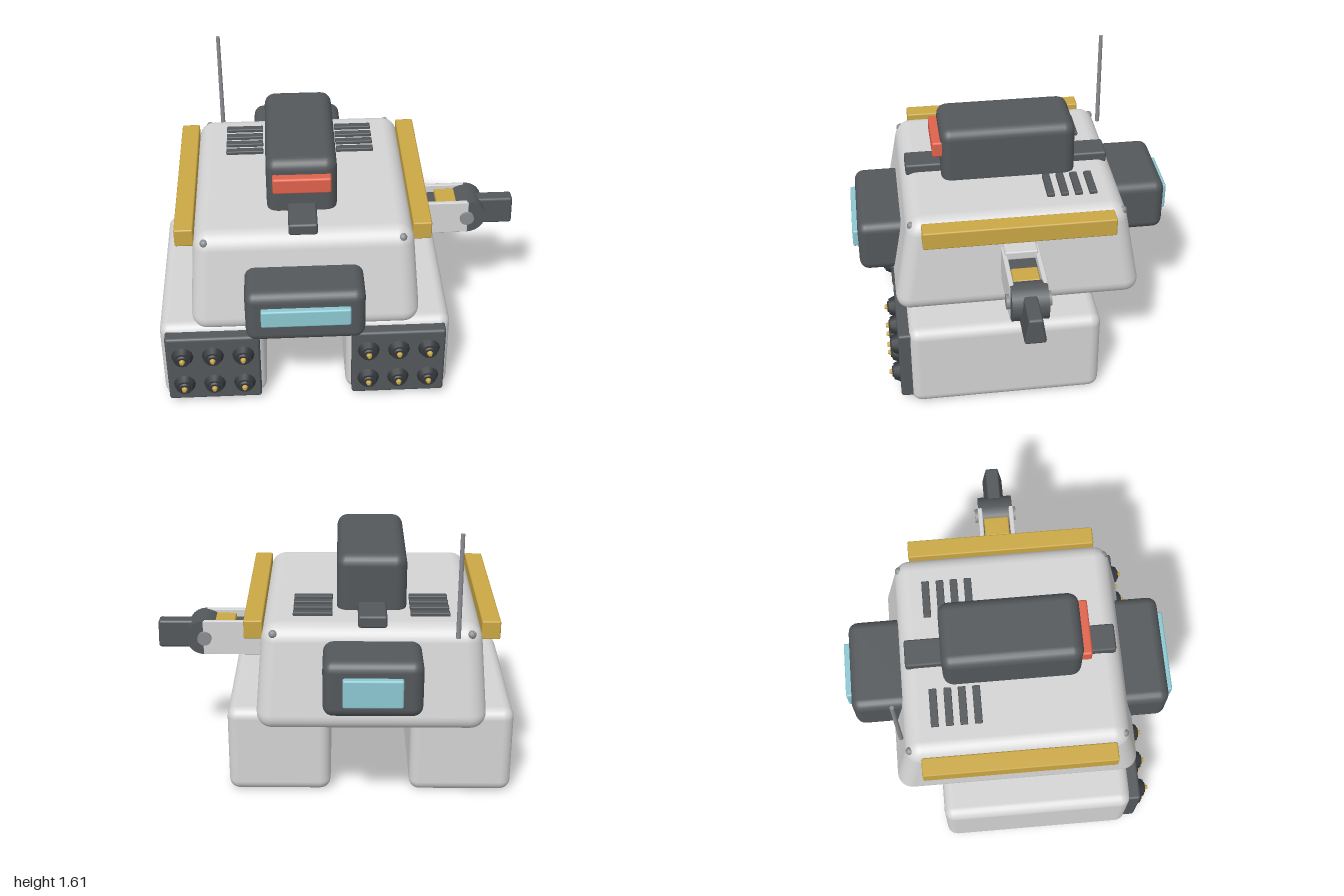
import * as THREE from 'three';
import { RoundedBoxGeometry } from 'three/addons/geometries/RoundedBoxGeometry.js';

const material = (name, color) => {
  const m = new THREE.MeshStandardMaterial({ color });
  m.name = name;
  return m;
};

export function createModel() {
  const model = new THREE.Group();
  model.name = 'walkerTurret';
  const light = material('light grey armour', 0xd4d4d4);
  const dark = material('dark grey', 0x54585b);
  const black = material('tube black', 0x34373a);
  const gold = material('gold', 0xcba844);
  const cyan = material('cyan glass', 0x8cc8d2);
  const red = material('red lens', 0xe0634c);
  const steel = material('steel', 0x8a8d90);

  const add = (name, geometry, mat, x = 0, y = 0, z = 0, parent = model) => {
    const mesh = new THREE.Mesh(geometry, mat);
    mesh.name = name;
    mesh.position.set(x, y, z);
    parent.add(mesh);
    return mesh;
  };
  // Rounded box given by its limits on each axis
  const block = (name, mat, [x0, x1], [y0, y1], [z0, z1], r = 0.008, seg = 1, parent = model) =>
    add(name, new RoundedBoxGeometry(x1 - x0, y1 - y0, z1 - z0, seg, r), mat,
      (x0 + x1) / 2, (y0 + y1) / 2, (z0 + z1) / 2, parent);
  // Narrow a geometry towards its top
  const taper = (geometry, height, sx, sz) => {
    const p = geometry.attributes.position;
    for (let i = 0; i < p.count; i++) {
      const t = p.getY(i) / height + 0.5;
      p.setX(i, p.getX(i) * (1 + (sx - 1) * t));
      p.setZ(i, p.getZ(i) * (1 + (sz - 1) * t));
    }
    return geometry;
  };
  const alongZ = (r0, r1, length, sides) =>
    new THREE.CylinderGeometry(r1, r0, length, sides).rotateX(Math.PI / 2);

  // Tapered hull
  const hull = new RoundedBoxGeometry(1.24, 0.575, 1.39, 4, 0.09);
  const n = hull.attributes.normal;
  taper(hull, 0.575, 0.93, 0.85);
  for (let i = 0; i < n.count; i++) {
    const v = new THREE.Vector3().fromBufferAttribute(n, i);
    v.y += Math.abs(v.x) * 0.08 + Math.abs(v.z) * 0.18;
    v.normalize();
    n.setXYZ(i, v.x, v.y, v.z);
  }
  add('hull', hull, light, -0.203, 0.803, 0.01);

  // Corner bolts
  for (const x of [-0.725, 0.315])
    for (const z of [-0.57, 0.585])
      add('cornerBolt', new THREE.SphereGeometry(0.023, 10, 8), steel, x, 1.04, z);

  // Missile pods, each with a 3 x 2 launcher
  for (const x of [-0.715, 0.303]) {
    const pod = new THREE.Group();
    pod.name = 'missilePod';
    pod.position.x = x;
    model.add(pod);
    block('podBody', light, [-0.287, 0.287], [0, 0.513], [-0.425, 0.642], 0.06, 3, pod);
    block('launcherPlate', dark, [-0.257, 0.257], [0.04, 0.478], [0.6, 0.7], 0.015, 2, pod);
    for (const tx of [-0.166, 0, 0.166])
      for (const ty of [0.155, 0.357]) {
        add('launchTube', alongZ(0.063, 0.045, 0.04, 12), black, tx, ty, 0.715, pod);
        add('missileBase', alongZ(0.036, 0.028, 0.012, 12), black, tx, ty, 0.738, pod);
        add('missileTip', alongZ(0.026, 0.01, 0.04, 10), gold, tx, ty, 0.74, pod);
      }
  }

  // Front and rear sensor housings
  block('frontSensor', dark, [-0.522, 0.105], [0.595, 0.907], [0.5, 0.878], 0.055, 3);
  block('frontVisor', cyan, [-0.44, 0.027], [0.723, 0.827], [0.84, 0.908], 0.01, 2);
  block('rearSensor', dark, [-0.465, 0.053], [0.7, 1.012], [-0.875, -0.5], 0.055, 3);
  block('rearVisor', cyan, [-0.36, -0.05], [0.777, 0.933], [-0.908, -0.84], 0.01, 2);

  // Roof turret, its lens and the rail below
  block('roofTurret', dark, [-0.393, -0.018], [1.04, 1.398], [-0.363, 0.388], 0.06, 3);
  block('turretLens', red, [-0.36, -0.05], [1.228, 1.32], [0.36, 0.435], 0.012, 2);
  block('roofRail', dark, [-0.283, -0.13], [1.07, 1.137], [-0.563, 0.585], 0.012);

  // Roof vents
  for (const x of [-0.62, 0.005])
    for (const z of [-0.425, -0.345, -0.268, -0.19])
      block('roofVent', dark, [x, x + 0.21], [1.07, 1.11], [z - 0.021, z + 0.021], 0.005);

  // Gold side bars
  for (const x of [-0.883, 0.373])
    block('sideBar', gold, [x, x + 0.101], [0.985, 1.089], [-0.51, 0.535], 0.008);

  // Antenna
  add('antenna', new THREE.CylinderGeometry(0.011, 0.013, 0.57, 10), steel, -0.65, 1.325, -0.612);

  // Left arm: twin plates around a core, ending in a hinged grip
  const arm = new THREE.Group();
  arm.name = 'arm';
  arm.position.set(0, 0.803, 0.008);
  model.add(arm);
  for (const s of [-1, 1]) {
    add('armPlate', new RoundedBoxGeometry(0.4, 0.205, 0.026, 1, 0.005), light, 0.54, 0, s * 0.09, arm);
    add('armPin', alongZ(0.04, 0.04, 0.02, 16), steel, 0.732, 0, s * 0.11, arm);
  }
  block('armCore', dark, [0.34, 0.74], [-0.085, 0.06], [-0.078, 0.078], 0.008, 1, arm);
  block('armBand', gold, [0.56, 0.675], [-0.09, 0.085], [-0.072, 0.072], 0.008, 1, arm);
  block('armCover', light, [0.34, 0.47], [0.07, 0.12], [-0.09, 0.09], 0.008, 1, arm);
  add('armPiston', new THREE.CylinderGeometry(0.024, 0.024, 0.2, 12).rotateZ(Math.PI / 2),
    dark, 0.435, -0.108, 0.005, arm);
  add('armHinge', alongZ(0.103, 0.103, 0.196, 24), dark, 0.735, 0, 0, arm);
  add('armGrip', taper(new RoundedBoxGeometry(0.22, 0.155, 0.12, 2, 0.015), 0.155, 1, 0.6),
    dark, 0.89, 0, 0, arm);

  return model;
}
